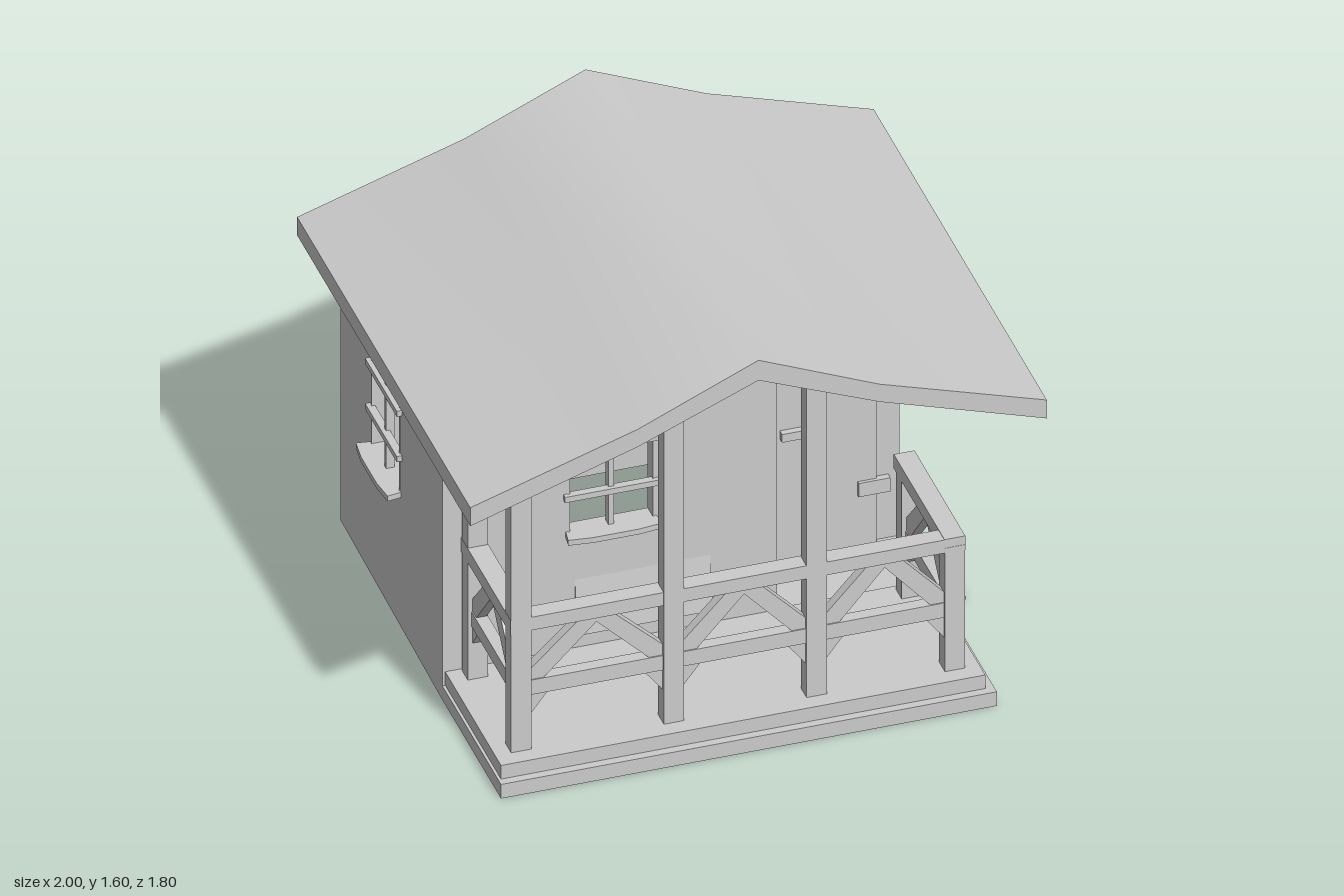
import * as THREE from 'three';
import { toCreasedNormals } from 'three/addons/utils/BufferGeometryUtils.js';

const grey = new THREE.MeshStandardMaterial({ color: 0xcccccc, side: THREE.DoubleSide });

// Underside height of the roof at x
function under(x) {
  const a = Math.abs(x);
  return a < 0.42 ? 1.52 - (a / 0.42) * 0.175 : 1.345 - ((a - 0.42) / 0.58) * 0.19;
}

function add(parent, name, geometry) {
  const mesh = new THREE.Mesh(geometry, grey);
  mesh.name = name;
  parent.add(mesh);
  return mesh;
}

// Box given by its minimum and maximum corners
function box(parent, name, x0, x1, y0, y1, z0, z1) {
  const mesh = add(parent, name, new THREE.BoxGeometry(x1 - x0, y1 - y0, z1 - z0));
  mesh.position.set((x0 + x1) / 2, (y0 + y1) / 2, (z0 + z1) / 2);
  return mesh;
}

function polygon(points) {
  return new THREE.Shape(points.map(([x, y]) => new THREE.Vector2(x, y)));
}

function rect(x0, x1, y0, y1) {
  return polygon([[x0, y0], [x1, y0], [x1, y1], [x0, y1]]);
}

function slab(shape, z0, z1) {
  return new THREE.ExtrudeGeometry(shape, { depth: z1 - z0, bevelEnabled: false }).translate(0, 0, z0);
}

const W = 0.15; // half window width
const H = 0.47; // window height

// Frame, glazing bars and sill; outside faces local +z
function windowUnit(u, y) {
  const g = new THREE.Group();
  g.name = 'window';
  g.position.set(u, y, 0);
  const frame = rect(-W, W, 0, H);
  frame.holes.push(rect(-W + 0.006, W - 0.006, 0.006, H - 0.006));
  add(g, 'windowFrame', slab(frame, -0.05, 0.003));
  box(g, 'mullion', -0.01, 0.01, 0, H, -0.025, 0.003);
  for (const h of [0.145, 0.325]) box(g, 'glazingBar', -0.165, 0.165, h - 0.011, h + 0.011, -0.01, 0.018);
  const sill = polygon([[-0.15, 0.05], [0.15, 0.05], [0.165, -0.05], [0.08, -0.06], [-0.08, -0.06], [-0.165, -0.05]]);
  add(g, 'windowSill', slab(sill, -0.015, 0.006).rotateX(-Math.PI / 2));
  return g;
}

// Wall drawn in (u, y), facing local +z, then turned into place
function wall(parent, name, outline, position, angle, windows = []) {
  const g = new THREE.Group();
  g.name = name;
  const shape = polygon(outline);
  for (const [u, y] of windows) {
    shape.holes.push(rect(u - W, u + W, y, y + H));
    g.add(windowUnit(u, y));
  }
  add(g, name + 'Panel', slab(shape, -0.012, 0));
  g.position.set(...position);
  g.rotation.y = angle;
  parent.add(g);
}

// Top edge of a gable wall from x = b down to x = a
function gable(a, b) {
  return [b, 0.42, 0, -0.42, a].filter((x) => x >= a && x <= b).map((x) => [x, under(x) + 0.02]);
}

// Railing bay centred on x = 0: middle rail, two braces, two lower brackets
function railBay(parent, h, x, z, angle) {
  const g = new THREE.Group();
  g.name = 'railingBay';
  box(g, 'middleRail', -h, h, 0.32, 0.378, -0.022, 0.022);
  for (const s of [-1, 1]) {
    const mirror = (pts) => polygon(pts.map(([px, py]) => [s * px, py]));
    add(g, 'brace', slab(mirror([[h, 0.375], [h - 0.045, 0.375], [0, 0.56], [0, 0.59], [0.05, 0.59], [h, 0.42]]), -0.018, 0.018));
    add(g, 'bracket', slab(mirror([[h, 0.24], [h, 0.325], [h - 0.065, 0.325]]), -0.018, 0.018));
  }
  g.position.set(x, 0, z);
  g.rotation.y = angle;
  parent.add(g);
}

export function createModel() {
  const model = new THREE.Group();
  model.name = 'cabin';

  // Roof with a slight flare towards the eaves
  const roofShape = polygon([
    [0, 1.6], [-0.42, 1.415], [-1, 1.228], [-1, 1.155], [-0.42, 1.345],
    [0, 1.52], [0.42, 1.345], [1, 1.155], [1, 1.228], [0.42, 1.415],
  ]);
  add(model, 'roof', toCreasedNormals(slab(roofShape, -0.9, 0.9), 0.9));

  // Walls, with a recessed entrance at the front left corner
  const L = -0.87, R = 0.85, F = 0.22, D = -0.18, B = -0.84, IN = 0.29;
  const side = under(R) + 0.02, recess = under(IN) + 0.02;
  wall(model, 'frontWall', [[L, 0], [IN, 0], ...gable(L, IN)], [0, 0, F], 0, [[-0.285, 0.57]]);
  wall(model, 'doorWall', [[IN, 0], [R, 0], ...gable(IN, R)], [0, 0, D], 0);
  wall(model, 'recessWall', [[-F, 0], [-D, 0], [-D, recess], [-F, recess]], [IN, 0, 0], Math.PI / 2);
  wall(model, 'leftWall', [[-D, 0], [-B, 0.035], [-B, side], [-D, side]], [R, 0, 0], Math.PI / 2, [[0.51, 0.55]]);
  wall(model, 'rightWall', [[B, 0.035], [F, 0], [F, side], [B, side]], [L, 0, 0], -Math.PI / 2, [[-0.365, 0.545]]);
  wall(model, 'backWall', [[-R, 0.035], [-L, 0.035], ...gable(-R, -L)], [0, 0, B], Math.PI, [[-0.335, 0.54], [0.355, 0.54]]);

  // Door with hinges and handle
  box(model, 'door', 0.39, 0.765, 0.03, 0.975, D, D + 0.012);
  for (const y of [0.77, 0.255]) box(model, 'hinge', 0.7, 0.81, y - 0.027, y + 0.027, D, D + 0.024);
  box(model, 'doorHandle', 0.43, 0.51, 0.51, 0.542, D, D + 0.036);

  // Tilted hatch low in the front wall
  const hatch = box(model, 'hatch', -0.41, 0.06, 0.17, 0.42, 0.215, 0.23);
  hatch.rotation.x = -0.12;

  // Porch floor on an open skirt
  box(model, 'porchFloor', -0.86, 0.82, 0.055, 0.11, 0.21, 0.8);
  box(model, 'skirtTop', L, R, 0.045, 0.056, 0.21, 0.83);
  box(model, 'frontSkirt', L, R, 0, 0.055, 0.81, 0.83);
  box(model, 'rightSkirt', L, L + 0.02, 0, 0.055, 0.21, 0.81);
  box(model, 'leftSkirt', R - 0.02, R, 0, 0.055, 0.21, 0.81);
  box(model, 'entranceFloor', IN, R, 0.01, 0.03, D, 0.21);

  // Sloping step beside the entrance
  const step = polygon([[R, 0.012], [0.95, 0.004], [0.95, 0.012], [R, 0.035]]);
  add(model, 'step', slab(step, -0.165, 0.21));

  // Posts: four reach the roof, two carry only the railing
  for (const [x, z, short] of [
    [-0.77, 0.71], [-0.24, 0.71], [0.255, 0.71], [-0.77, 0.26], [0.735, 0.71, true], [0.735, 0.26, true],
  ]) {
    const top = short ? 0.6 : under(x) + 0.02;
    box(model, short ? 'railingPost' : 'roofPost', x - 0.035, x + 0.035, 0.035, top, z - 0.03, z + 0.03);
  }

  // Handrails and braced bays
  box(model, 'frontHandrail', -0.74, 0.77, 0.58, 0.632, 0.675, 0.738);
  for (const x of [-0.77, 0.735]) {
    box(model, 'sideHandrail', x - 0.036, x + 0.036, 0.578, 0.634, 0.21, 0.739);
    railBay(model, 0.205, x, 0.485, Math.PI / 2);
  }
  for (const [a, b] of [[-0.735, -0.275], [-0.205, 0.22], [0.29, 0.7]]) {
    railBay(model, (b - a) / 2, (a + b) / 2, 0.71, 0);
  }

  return model;
}
